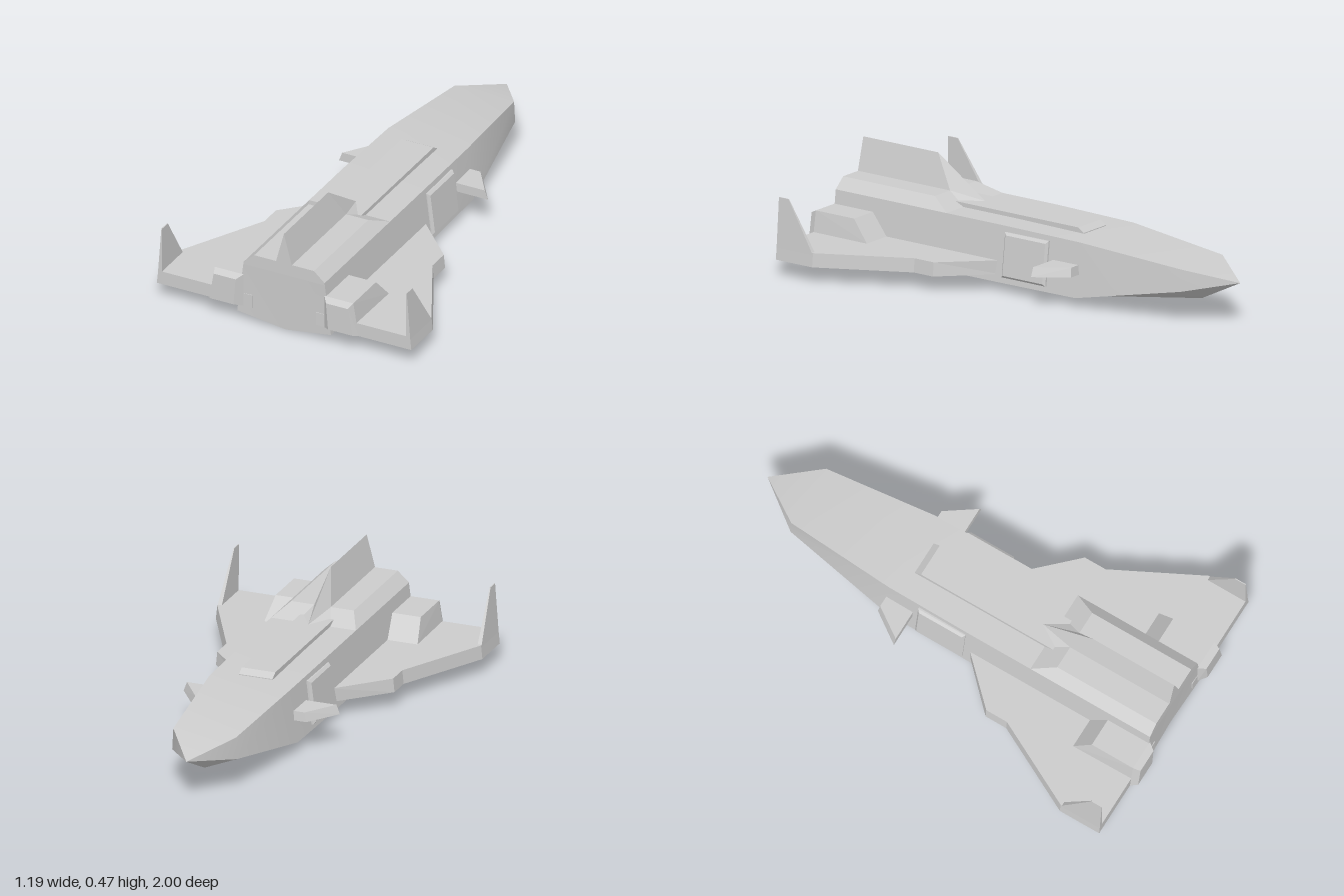
import * as THREE from 'three';
import { ConvexGeometry } from 'three/addons/geometries/ConvexGeometry.js';
import { toCreasedNormals } from 'three/addons/utils/BufferGeometryUtils.js';

const grey = new THREE.MeshStandardMaterial({ color: 0xcccccc });

function add(group, name, geometry, material = grey) {
  const mesh = new THREE.Mesh(geometry, material);
  mesh.name = name;
  group.add(mesh);
}

// Faceted solid from its corner points, optionally flipped to the other side
function solid(points, side = 1) {
  return new ConvexGeometry(points.map(([x, y, z]) => new THREE.Vector3(x * side, y, z)));
}

// Corner points of both halves of a symmetrical part
const both = (points) => points.flatMap(([x, y, z]) => [[x, y, z], [-x, y, z]]);

// Hull lofted through five-sided sections: keel, chine, shoulder and their mirror
function hullGeometry() {
  // z, keel y, chine x, chine y, shoulder x, shoulder y
  const sections = [
    [-1, 0.18, 0, 0.18, 0, 0.18],
    [-0.8, 0.08, 0.145, 0.14, 0.14, 0.235],
    [-0.3, 0, 0.213, 0.04, 0.185, 0.275],
    [0.1, 0, 0.22, 0.04, 0.19, 0.28],
    [0.97, 0, 0.22, 0.04, 0.19, 0.28],
  ];
  const positions = [];
  const index = [];
  for (const [z, ky, cx, cy, sx, sy] of sections) {
    positions.push(0, ky, Math.min(z, 0.955), cx, cy, z, sx, sy, z, -sx, sy, z, -cx, cy, z);
  }
  for (let i = 0; i < sections.length - 1; i++) {
    for (let j = 0; j < 5; j++) {
      const a = i * 5 + j, b = i * 5 + (j + 1) % 5;
      if (i > 0) index.push(a, b, a + 5);
      index.push(b, b + 5, a + 5);
    }
  }
  const end = (sections.length - 1) * 5;
  for (let j = 1; j < 4; j++) index.push(end, end + j, end + j + 1);
  const geometry = new THREE.BufferGeometry();
  geometry.setAttribute('position', new THREE.Float32BufferAttribute(positions, 3));
  geometry.setIndex(index);
  return toCreasedNormals(geometry, THREE.MathUtils.degToRad(40));
}

// Flat wing with its outer edge leaning in slightly towards the top
function wingGeometry(side) {
  const outline = [[0.15, 0.05], [0.2, 0.1], [0.4, 0.3], [0.4, 0.4], [0.597, 0.78], [0.597, 0.97], [0.15, 0.97]];
  const shape = new THREE.Shape(outline.map(([x, z]) => new THREE.Vector2(x * side, z)));
  const geometry = new THREE.ExtrudeGeometry(shape, { depth: 0.06, bevelEnabled: false });
  geometry.rotateX(Math.PI / 2).translate(0, 0.13, 0);
  const p = geometry.attributes.position;
  for (let i = 0; i < p.count; i++) {
    if (p.getY(i) > 0.1 && Math.abs(p.getX(i)) > 0.39) p.setX(i, p.getX(i) - side * 0.006);
  }
  geometry.computeVertexNormals();
  return geometry;
}

// Central fin: ridge on top, flared foot at the leading edge
function dorsalFinGeometry() {
  const front = [0, 0.298, 0.335], ridge = [0, 0.465, 0.58], tail = [0, 0.465, 0.972], foot = [0, 0.28, 0.972];
  const positions = [];
  for (const s of [1, -1]) {
    const flare = [s * 0.075, 0.288, 0.42], mid = [s * 0.037, 0.325, 0.49], rear = [s * 0.037, 0.325, 0.972];
    const faces = [
      [front, mid, flare], [front, ridge, mid],
      [mid, ridge, tail], [mid, tail, rear], [rear, tail, foot],
    ];
    for (const f of faces) positions.push(...(s > 0 ? f : [...f].reverse()).flat());
  }
  const geometry = new THREE.BufferGeometry();
  geometry.setAttribute('position', new THREE.Float32BufferAttribute(positions, 3));
  geometry.computeVertexNormals();
  return geometry;
}

export function createModel() {
  const model = new THREE.Group();
  model.name = 'spaceShuttle';

  add(model, 'hull', hullGeometry());

  // Raised rear deck with a ramp and chamfered sides
  add(model, 'rearDeck', solid(both([
    [0.19, 0.28, 0.39], [0.14, 0.325, 0.49], [0.19, 0.28, 0.97], [0.14, 0.325, 0.97],
    [0.19, 0.27, 0.4], [0.19, 0.27, 0.97],
  ])));

  // Spine strip along the roof
  add(model, 'roofStrip', solid(both([
    [0.075, 0.27, -0.24], [0.075, 0.279, -0.24], [0.075, 0.298, -0.21],
    [0.075, 0.298, 0.46], [0.075, 0.27, 0.46],
  ])));

  const finMaterial = grey.clone();
  finMaterial.side = THREE.DoubleSide;
  add(model, 'dorsalFin', dorsalFinGeometry(), finMaterial);

  const wallX = (y) => 0.22 - 0.125 * (y - 0.04);

  for (const side of [1, -1]) {
    const label = side > 0 ? 'left' : 'right';
    add(model, label + 'Wing', wingGeometry(side));

    // Upright fin on the wing tip
    add(model, label + 'TipFin', solid([
      [0.573, 0.12, 0.78], [0.592, 0.12, 0.78], [0.573, 0.12, 0.97], [0.592, 0.12, 0.97],
      [0.572, 0.335, 0.92], [0.576, 0.335, 0.92], [0.572, 0.335, 0.97], [0.576, 0.335, 0.97],
    ], side));

    // Engine pod with sloped front and bevelled rear
    add(model, label + 'Engine', solid([
      [0.19, 0.07, 0.69], [0.35, 0.07, 0.69], [0.19, 0.13, 0.69], [0.343, 0.13, 0.69],
      [0.19, 0.22, 0.77], [0.325, 0.22, 0.77], [0.19, 0.22, 0.97], [0.325, 0.22, 0.97],
      [0.19, 0.07, 0.97], [0.35, 0.07, 0.97],
      [0.222, 0.083, 1], [0.335, 0.083, 1], [0.212, 0.205, 1], [0.315, 0.205, 1],
    ], side));

    // Small forward winglet
    add(model, label + 'Canard', solid([
      [0.17, 0.14, -0.31], [0.255, 0.14, -0.31], [0.35, 0.14, -0.175], [0.17, 0.14, -0.175],
      [0.17, 0.18, -0.305], [0.245, 0.18, -0.305], [0.335, 0.18, -0.175], [0.17, 0.18, -0.175],
    ], side));

    // Side hatch lying on the sloped wall
    const hatch = [];
    for (const [out, inset] of [[-0.02, 0], [0.004, 0], [0.014, 0.01]]) {
      for (const y of [0.065 + inset, 0.255 - inset]) {
        for (const z of [-0.15 + inset, 0.078 - inset]) hatch.push([wallX(y) + out, y, z]);
      }
    }
    add(model, label + 'Hatch', solid(hatch, side));
  }
  return model;
}
